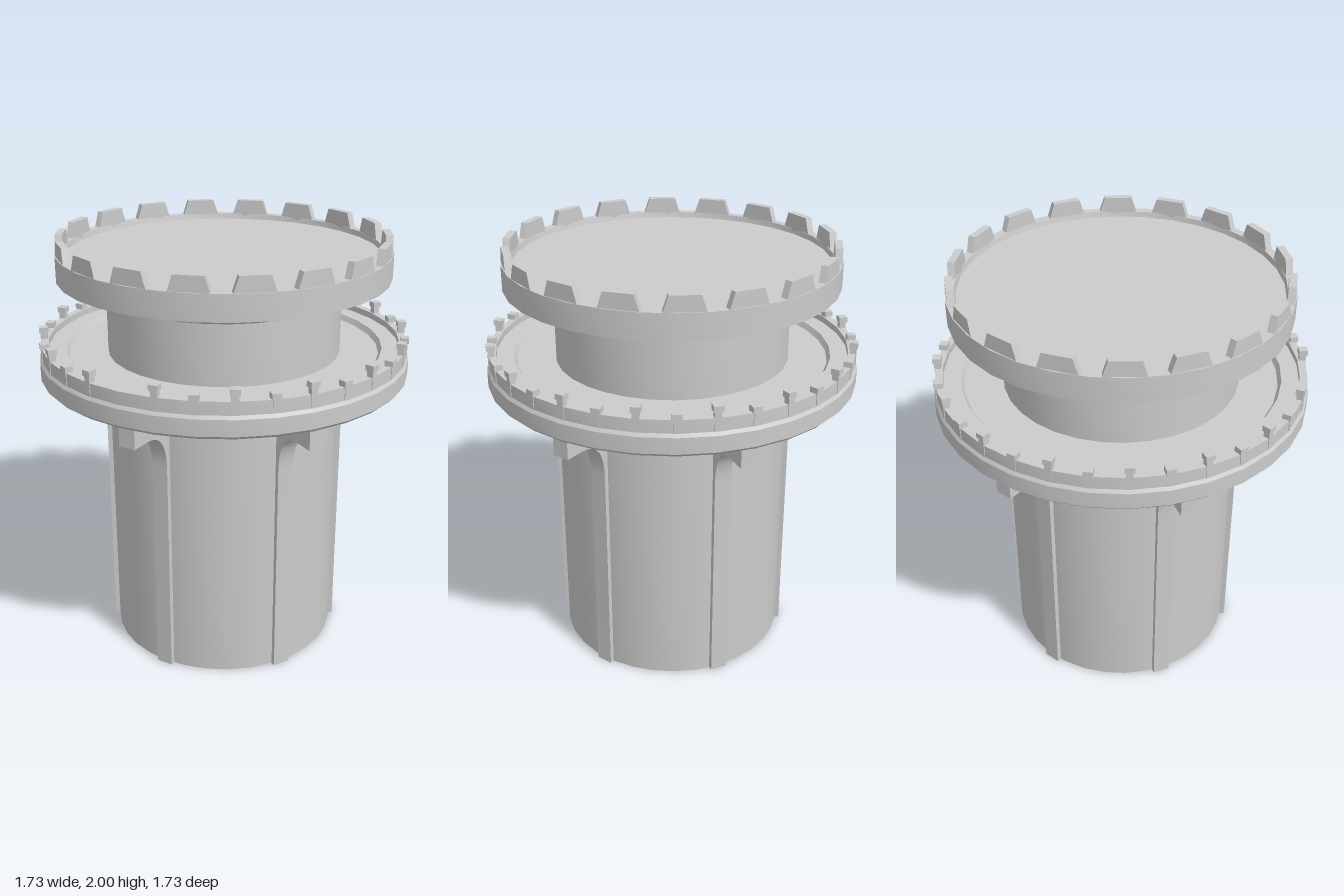
import * as THREE from 'three';
import { toCreasedNormals } from 'three/addons/utils/BufferGeometryUtils.js';

const SIDES = 32;
const material = new THREE.MeshStandardMaterial({ color: 0xcccccc });
const openMaterial = new THREE.MeshStandardMaterial({ color: 0xcccccc, side: THREE.DoubleSide });

function addMesh(parent, name, geometry, mat = material) {
  const mesh = new THREE.Mesh(geometry, mat);
  mesh.name = name;
  parent.add(mesh);
  return mesh;
}

// Round part turned from [radius, height] pairs, listed from the underside up
function turned(profile) {
  const points = profile.map(([r, y]) => new THREE.Vector2(r, y));
  return toCreasedNormals(new THREE.LatheGeometry(points, SIDES), 0.5);
}

// Calls build(group, index) for copies spaced evenly about the y axis; +z is index 0
function ring(parent, name, count, build, skip = -1) {
  for (let i = 0; i < count; i++) {
    if (i === skip) continue;
    const group = new THREE.Group();
    group.name = name;
    group.rotation.y = (i * Math.PI * 2) / count;
    build(group, i);
    parent.add(group);
  }
}

// Bracket rib: a slim strip up the shaft, curving out to a square end under the deck
function ribGeometry() {
  const shape = new THREE.Shape();
  shape.moveTo(0.535, 0);
  shape.lineTo(0.565, 0);
  shape.lineTo(0.565, 1.04);
  shape.bezierCurveTo(0.565, 1.15, 0.6, 1.235, 0.71, 1.235);
  shape.lineTo(0.805, 1.235);
  shape.lineTo(0.805, 1.345);
  shape.lineTo(0.535, 1.345);
  shape.closePath();
  const geometry = new THREE.ExtrudeGeometry(shape, { depth: 0.08, bevelEnabled: false, curveSegments: 10 });
  geometry.translate(0, 0, -0.04);
  geometry.rotateY(-Math.PI / 2);
  return toCreasedNormals(geometry, 0.5);
}

// Crown tooth: a tapered block
function toothGeometry() {
  const shape = new THREE.Shape();
  shape.moveTo(-0.09, 1.9);
  shape.lineTo(0.09, 1.9);
  shape.lineTo(0.088, 1.93);
  shape.lineTo(0.065, 2);
  shape.lineTo(-0.065, 2);
  shape.lineTo(-0.088, 1.93);
  shape.closePath();
  const geometry = new THREE.ExtrudeGeometry(shape, { depth: 0.034, bevelEnabled: false });
  geometry.translate(0, 0, 0.727);
  return geometry;
}

export function createModel() {
  const model = new THREE.Group();
  model.name = 'tower';

  // Hollow shaft, open at the foot
  addMesh(model, 'shaft', turned([[0.545, 0], [0.545, 1.32]]), openMaterial);

  // Round deck with stepped underside and raised kerb
  addMesh(model, 'deck', turned([
    [0.545, 1.32], [0.7, 1.32], [0.74, 1.345], [0.85, 1.345], [0.865, 1.36],
    [0.865, 1.435], [0.855, 1.45], [0.855, 1.51], [0.82, 1.51], [0.82, 1.48],
    [0.74, 1.48], [0.725, 1.455], [0.545, 1.455],
  ]));

  // Neck flaring out below the crown
  addMesh(model, 'neck', turned([
    [0.545, 1.455], [0.545, 1.735], [0.558, 1.75], [0.6, 1.77], [0.7, 1.815],
  ]));

  // Crown drum with a shallow rim and flat roof
  addMesh(model, 'crown', turned([
    [0.7, 1.812], [0.77, 1.812], [0.77, 1.93], [0.73, 1.93], [0.725, 1.905], [0, 1.905],
  ]));

  const rib = ribGeometry();
  ring(model, 'rib', 6, (group) => addMesh(group, 'ribBracket', rib));

  const tooth = toothGeometry();
  ring(model, 'crownTooth', 18, (group) => addMesh(group, 'tooth', tooth));

  // Posts alternate short and tall, leaving a gateway gap at the front
  ring(model, 'kerbPost', SIDES, (group, i) => {
    const top = i % 2 ? 1.565 : 1.538;
    const height = top - 1.46;
    const stem = addMesh(group, 'postStem', new THREE.BoxGeometry(0.03, height, 0.03));
    stem.position.set(0, 1.46 + height / 2 - 0.005, 0.842);
    const cap = addMesh(group, 'postCap', new THREE.BoxGeometry(0.042, 0.026, 0.04));
    cap.position.set(0, top - 0.013, 0.842);
  }, 0);

  return model;
}
